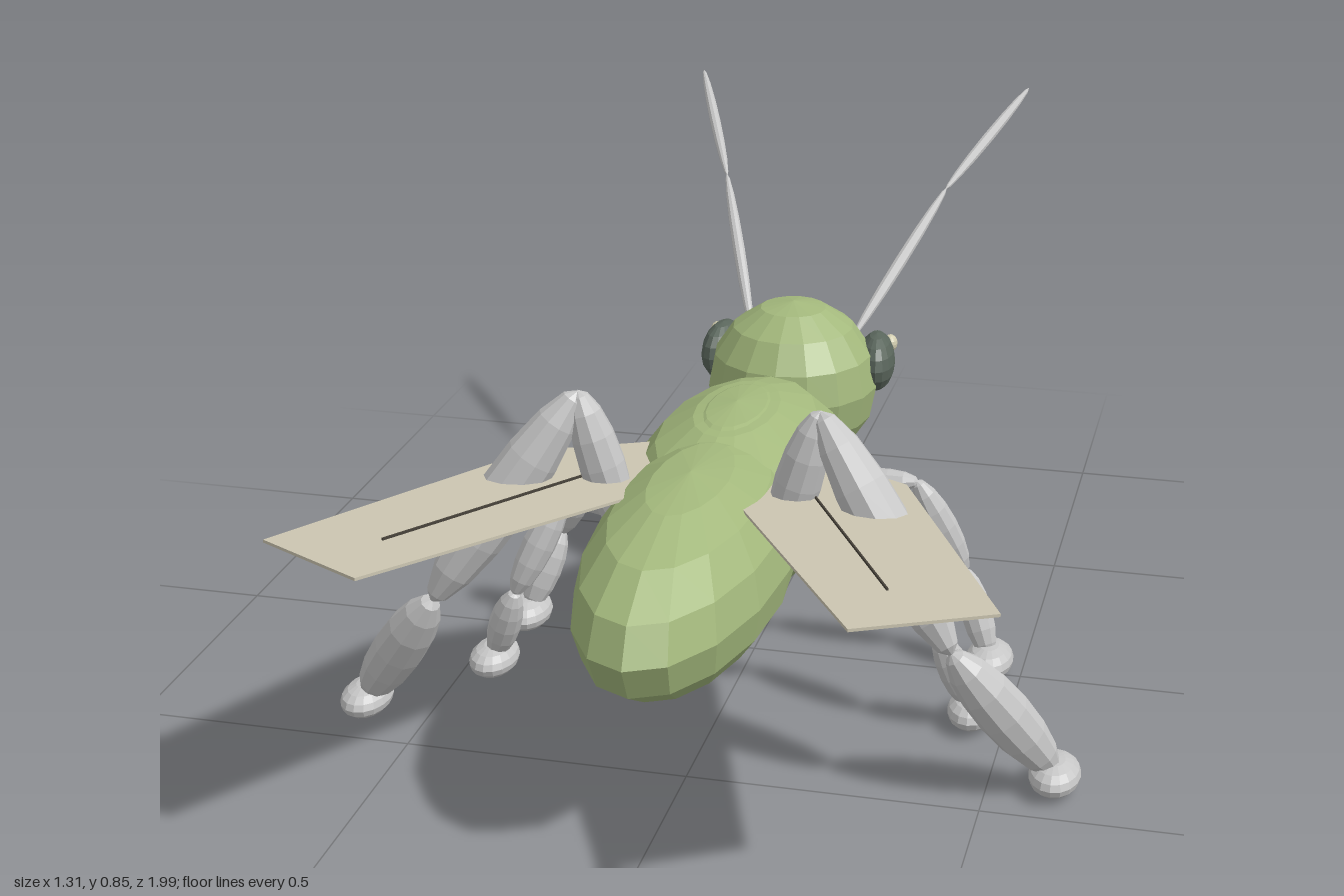
import * as THREE from 'three';

const mat = (name, color) => {
  const m = new THREE.MeshStandardMaterial({ color, flatShading: true });
  m.name = name;
  return m;
};

export function createModel() {
  const root = new THREE.Group();
  root.name = 'insect';
  const green = mat('leaf green', 0xa3b87c);
  const mouthGreen = mat('dark green', 0x6b8c6b);
  const eyeGrey = mat('eye grey', 0x5a665c);
  const cream = mat('cream', 0xd2cdb0);
  const legGrey = mat('light grey', 0xc6c6c6);
  const wingTan = mat('wing tan', 0xcdc7b2);
  wingTan.side = THREE.DoubleSide;
  const veinDark = mat('vein brown', 0x48433a);

  const bodySphere = new THREE.SphereGeometry(1, 16, 8);
  const limbSphere = new THREE.SphereGeometry(1, 10, 8);

  function ellipsoid(name, material, pos, radii, parent = root) {
    const m = new THREE.Mesh(bodySphere, material);
    m.name = name;
    m.position.set(...pos);
    m.scale.set(...radii);
    parent.add(m);
    return m;
  }

  // Spindle-shaped limb segment stretched between two points
  function segment(name, a, b, radius, parent) {
    const p = new THREE.Vector3(...a), q = new THREE.Vector3(...b);
    const m = new THREE.Mesh(limbSphere, legGrey);
    m.name = name;
    m.position.copy(p).add(q).multiplyScalar(0.5);
    m.scale.set(radius, p.distanceTo(q) / 2 + 0.004, radius);
    m.quaternion.setFromUnitVectors(new THREE.Vector3(0, 1, 0), q.sub(p).normalize());
    parent.add(m);
  }

  // Body and head (the head points to -z)
  ellipsoid('abdomen', green, [0, 0.383, 0.45], [0.167, 0.16, 0.42]);
  ellipsoid('thorax', green, [0, 0.383, 0.13], [0.187, 0.163, 0.37]);
  ellipsoid('backShield', green, [0, 0.43, 0.13], [0.13, 0.118, 0.28]);
  ellipsoid('head', green, [0, 0.422, -0.322], [0.163, 0.162, 0.167]);
  ellipsoid('mouth', mouthGreen, [0, 0.328, -0.54], [0.085, 0.04, 0.11]);

  // Legs: joint paths for the +x side, with segment radii
  const legs = [
    { name: 'frontLeg', path: [[0.13, 0.35, -0.01], [0.3, 0.37, 0], [0.385, 0.185, -0.045], [0.44, 0.04, 0]], r: [0.026, 0.03, 0.03] },
    { name: 'middleLeg', path: [[0.13, 0.35, 0.2], [0.3, 0.37, 0.195], [0.385, 0.185, 0.24], [0.44, 0.04, 0.2]], r: [0.026, 0.03, 0.03] },
    { name: 'hindLeg', path: [[0.13, 0.39, 0.39], [0.205, 0.645, 0.4], [0.445, 0.28, 0.49], [0.61, 0.04, 0.4]], r: [0.04, 0.05, 0.046] },
  ];
  const antenna = [[0.1, 0.49, -0.4], [0.226, 0.71, -0.71], [0.347, 0.852, -0.998]];

  // Wing outline in x, z; its height rises gently to the rear
  const outline = [[0.08, 0.125], [0.15, 0.17], [0.33, 0.285], [0.57, 0.865], [0.37, 0.99], [0.1, 0.5]];
  const wingHeight = (z) => 0.452 + 0.1 * z;

  for (const side of [1, -1]) {
    const label = side > 0 ? 'left' : 'right';
    const flip = ([x, y, z]) => [x * side, y, z];

    for (const leg of legs) {
      const g = new THREE.Group();
      g.name = `${label} ${leg.name}`;
      root.add(g);
      const pts = leg.path.map(flip);
      ['upper', 'middle', 'lower'].forEach((n, i) => segment(n, pts[i], pts[i + 1], leg.r[i], g));
      const end = pts[3];
      ellipsoid('foot', legGrey, [end[0] + side * 0.002, 0.033, end[2]], [0.044, 0.03, 0.067], g);
    }

    const feeler = new THREE.Group();
    feeler.name = `${label} antenna`;
    root.add(feeler);
    const f = antenna.map(flip);
    segment('antennaBase', f[0], f[1], 0.012, feeler);
    segment('antennaTip', f[1], f[2], 0.011, feeler);

    // Eye with a small highlight
    const eye = ellipsoid(`${label} eye`, eyeGrey, [side * 0.152, 0.455, -0.38], [0.036, 0.056, 0.073]);
    eye.rotation.y = side * 0.15;
    ellipsoid(`${label} eyeHighlight`, cream, [side * 0.172, 0.48, -0.415], [0.014, 0.017, 0.017]);

    // Thin wing plate, sheared to its slope
    const shape = new THREE.Shape(outline.map(([x, z]) => new THREE.Vector2(x * side, -z)));
    const geo = new THREE.ExtrudeGeometry(shape, { depth: 0.005, bevelEnabled: false });
    geo.rotateX(-Math.PI / 2);
    const p = geo.attributes.position;
    for (let i = 0; i < p.count; i++) p.setY(i, p.getY(i) + wingHeight(p.getZ(i)) - 0.002);
    geo.computeVertexNormals();
    const wing = new THREE.Mesh(geo, wingTan);
    wing.name = `${label} wing`;
    root.add(wing);

    // Fine vein along the middle of the wing
    const a = new THREE.Vector3(side * 0.18, wingHeight(0.365), 0.365);
    const b = new THREE.Vector3(side * 0.395, wingHeight(0.815), 0.815);
    const vein = new THREE.Mesh(new THREE.BoxGeometry(0.003, 0.014, a.distanceTo(b)), veinDark);
    vein.name = `${label} wingVein`;
    vein.position.copy(a).add(b).multiplyScalar(0.5);
    vein.lookAt(b);
    root.add(vein);
  }
  return root;
}
